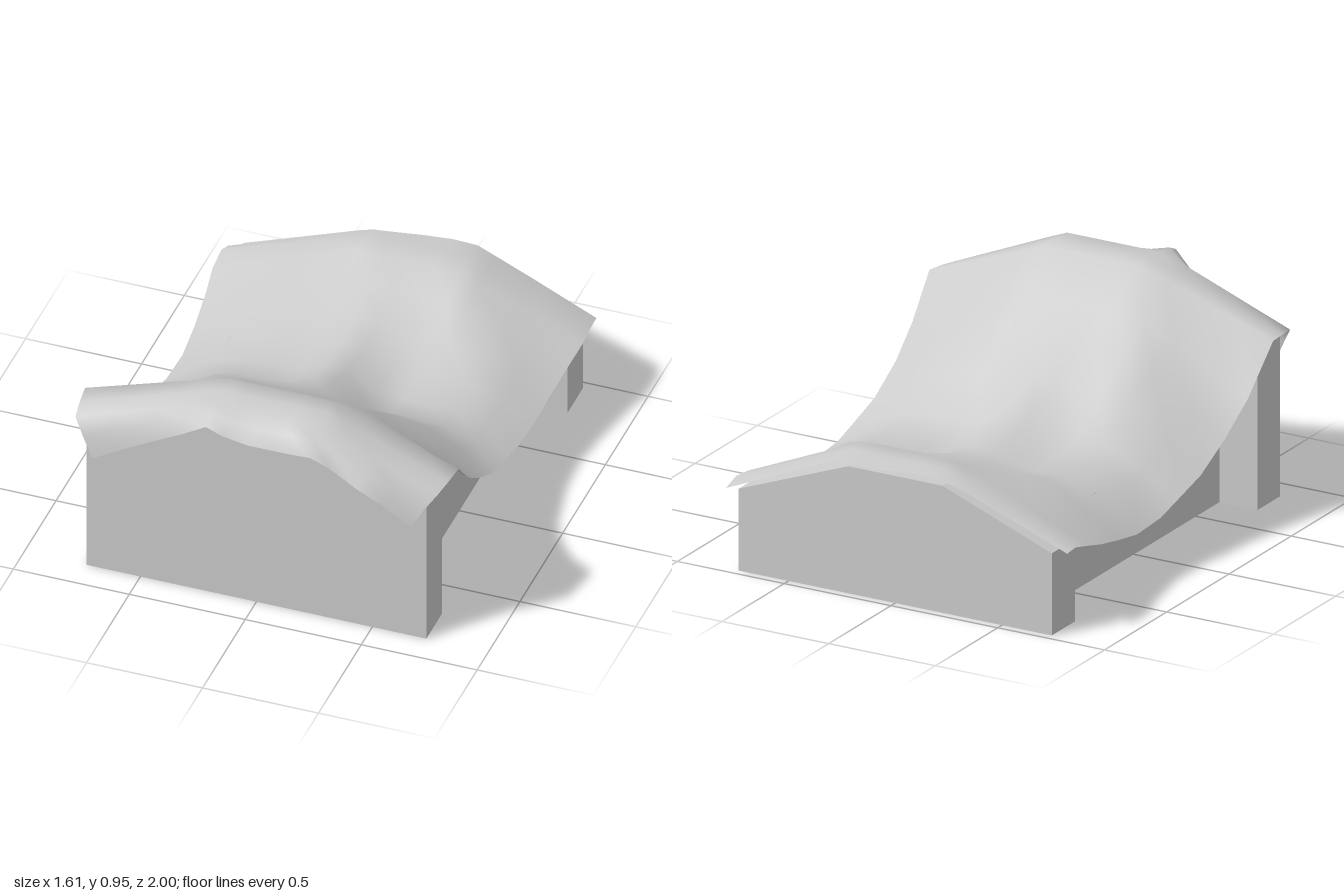
import * as THREE from 'three';

const HEAD = { front: 0.87, depth: 0.183, side: 0.725, top: 0.925 };
const FOOT = { front: -0.78, depth: 0.185, side: 0.355, top: 0.55 };
const grey = (side = THREE.FrontSide) => new THREE.MeshStandardMaterial({ color: 0xcccccc, side });

// End board: a slab with a flat crest and sloping shoulders
function board(name, { front, depth, side, top }) {
  const shape = new THREE.Shape([
    [-0.733, 0], [0.733, 0], [0.733, side], [0.22, top], [-0.22, top], [-0.733, side],
  ].map(([x, y]) => new THREE.Vector2(x, y)));
  const geo = new THREE.ExtrudeGeometry(shape, { depth, bevelEnabled: false });
  geo.translate(0, 0, front - depth);
  const mesh = new THREE.Mesh(geo, grey());
  mesh.name = name;
  return mesh;
}

// Position of each column across the blanket, as a fraction of its half width
const COLS = [-1, -0.8, -0.56, -0.38, -0.22, -0.1, 0.04, 0.2, 0.34, 0.44, 0.65, 0.82, 1];

// Hanging front hem: x, y, z per column
const HEM = [
  [-0.69, 0.575, 0.915], [-0.56, 0.655, 0.92], [-0.42, 0.74, 0.93], [-0.3, 0.81, 0.94],
  [-0.17, 0.92, 0.998], [-0.1, 0.88, 0.985], [0, 0.855, 0.975], [0.18, 0.84, 0.955],
  [0.27, 0.86, 0.975], [0.33, 0.8, 0.935], [0.47, 0.76, 0.98], [0.57, 0.69, 0.96], [0.69, 0.59, 0.935],
];

// Rows along the bed: z, crest, edge height, half width, shoulder x, dip beside the ridge, drop of the right edge
const ROWS = [
  [0.87, 0.95, 0.73, 0.78, 0.27, 0, 0],
  [0.78, 0.955, 0.74, 0.795, 0.27, 0, 0],
  [0.69, 0.95, 0.745, 0.805, 0.27, 0, 0],
  [0.52, 0.815, 0.58, 0.785, 0.33, 0, 0.035],
  [0.36, 0.71, 0.465, 0.77, 0.4, 0.02, 0.045],
  [0.18, 0.595, 0.365, 0.765, 0.45, 0.045, 0.04],
  [0, 0.53, 0.315, 0.76, 0.48, 0.115, 0.04],
  [-0.13, 0.495, 0.28, 0.757, 0.52, 0.1, 0.04],
  [-0.32, 0.46, 0.265, 0.757, 0.53, 0.065, 0.035],
  [-0.48, 0.485, 0.29, 0.765, 0.48, 0.03, 0.03],
  [-0.65, 0.525, 0.325, 0.78, 0.38, 0.01, 0.025],
  [-0.78, 0.585, 0.36, 0.797, 0.27, 0, 0.02],
  [-0.88, 0.588, 0.37, 0.795, 0.27, 0, 0.005],
];
const BACK_Z = [-0.93, -0.932, -0.935, -0.94, -0.95, -0.965, -0.985, -1, -0.995, -0.993, -0.99, -0.985, -0.98];

// Draped blanket: a soft ridge along the middle, falling away past the shoulders
function blanket() {
  const section = ([z, crest, edge, half, shoulder, dip, drop], zAt) => COLS.map((s, i) => {
    const x = s * half;
    const bend = x < 0 ? shoulder - 0.3 * (0.53 - shoulder) : shoulder;
    const low = x < 0 ? edge - drop : edge;
    const sink = x < 0
      ? 0.75 * THREE.MathUtils.smoothstep(-x, 0, 0.25)
      : THREE.MathUtils.smoothstep(x, 0.03, 0.18);
    const high = crest - dip * sink;
    const fall = Math.max(0, (Math.abs(x) - bend) / (half - bend));
    return [x, high + (low - high) * fall, zAt ? zAt[i] : z];
  });
  const rows = ROWS.map((r) => section(r));
  const roll = HEM.map(([x, y, z], i) => {
    const [tx, ty, tz] = rows[0][i];
    return [(x + tx) / 2, (y + ty) / 2 + 0.01, (z + tz) / 2 + 0.01];
  });
  rows.unshift(HEM, roll);
  rows.push(section([-0.97, 0.575, 0.352, 0.785, 0.27, 0, 0], BACK_Z));

  const n = COLS.length, index = [];
  for (let r = 0; r < rows.length - 1; r++) {
    for (let c = 0; c < n - 1; c++) {
      const a = r * n + c, d = a + n;
      index.push(a, a + 1, d, a + 1, d + 1, d);
    }
  }
  const geo = new THREE.BufferGeometry();
  geo.setAttribute('position', new THREE.Float32BufferAttribute(rows.flat(2), 3));
  geo.setIndex(index);
  geo.computeVertexNormals();
  const mesh = new THREE.Mesh(geo, grey(THREE.DoubleSide));
  mesh.name = 'blanket';
  return mesh;
}

export function createModel() {
  const bed = new THREE.Group();
  bed.name = 'bed';

  // Base spans between the inner faces of the two boards
  const back = FOOT.front, front = HEAD.front - HEAD.depth;
  const base = new THREE.Mesh(new THREE.BoxGeometry(1.11, 0.37, front - back), grey());
  base.name = 'base';
  base.position.set(0, 0.185, (front + back) / 2);

  bed.add(board('headboard', HEAD), board('footboard', FOOT), base, blanket());
  return bed;
}
